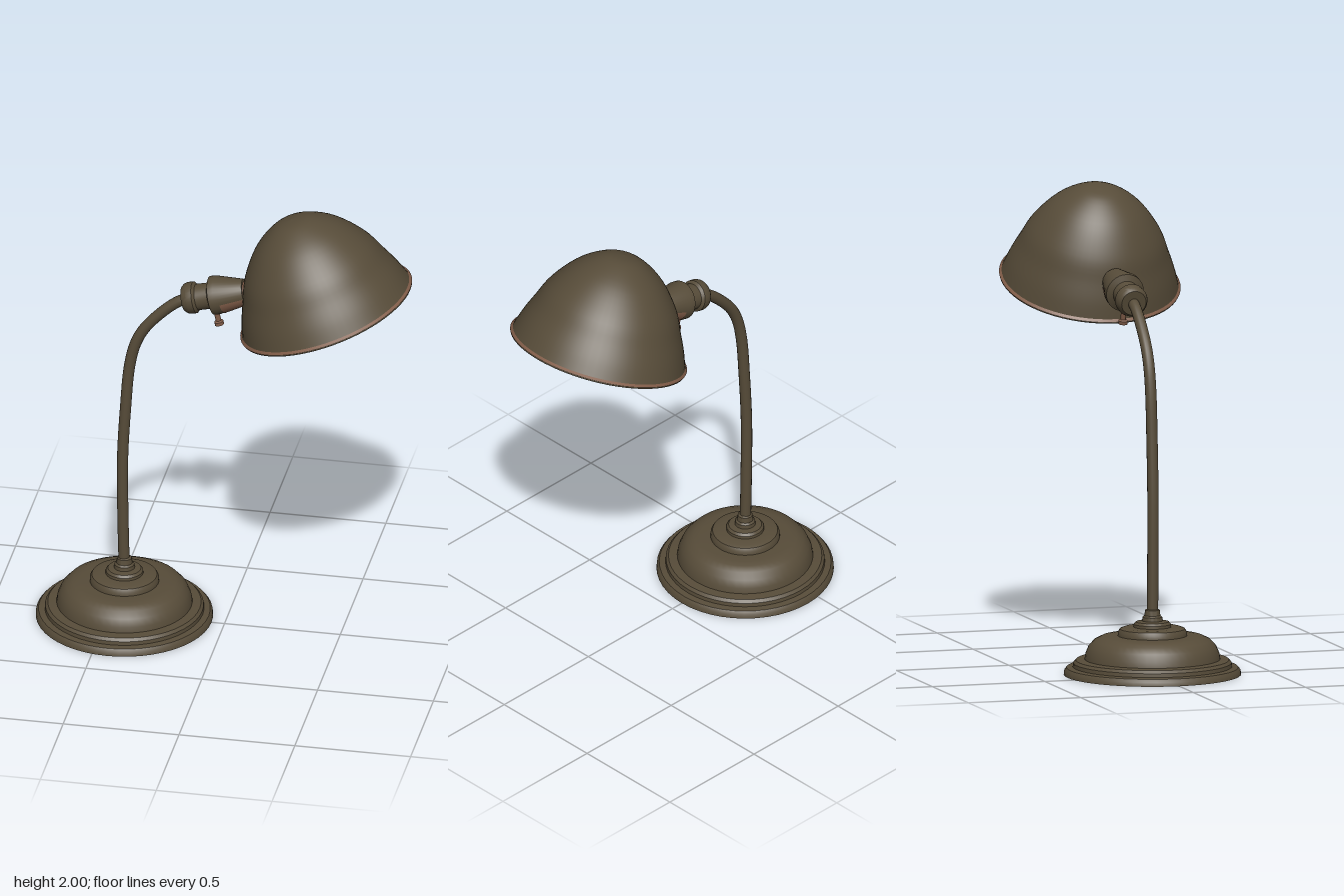
import * as THREE from 'three';
import { toCreasedNormals } from 'three/addons/utils/BufferGeometryUtils.js';

const bronze = new THREE.MeshStandardMaterial({ color: 0x574c39, side: THREE.DoubleSide });
bronze.name = 'aged bronze';
const copper = new THREE.MeshStandardMaterial({ color: 0x805c48, side: THREE.DoubleSide });
copper.name = 'worn copper';
const glass = new THREE.MeshStandardMaterial({ color: 0xd6cdb0 });
glass.name = 'frosted glass';

function mesh(name, geometry, material, x = 0, y = 0, z = 0) {
  const m = new THREE.Mesh(geometry, material);
  m.name = name;
  m.position.set(x, y, z);
  return m;
}

// Turned part from [radius, height] pairs listed bottom to top
function turned(points, segments = 48, crease = 0.6) {
  const profile = points.map(([r, y]) => new THREE.Vector2(r, y));
  return toCreasedNormals(new THREE.LatheGeometry(profile, segments), crease);
}

export function createModel() {
  const lamp = new THREE.Group();
  lamp.name = 'deskLamp';

  // Hollow stepped base
  lamp.add(mesh('base', turned([
    [0.376, 0], [0.374, 0.018], [0.364, 0.03], [0.338, 0.034],
    [0.336, 0.05], [0.325, 0.062], [0.288, 0.066],
    [0.284, 0.09], [0.270, 0.122], [0.247, 0.147], [0.218, 0.161], [0.19, 0.165], [0.147, 0.166],
    [0.146, 0.182], [0.138, 0.195], [0.122, 0.201], [0.08, 0.203],
    [0.079, 0.215], [0.07, 0.225], [0.044, 0.229],
    [0.042, 0.245], [0.034, 0.252], [0.031, 0.275], [0.022, 0.28],
  ]), bronze, -0.432));

  // Gooseneck arm
  const path = new THREE.CatmullRomCurve3([
    [-0.432, 0.2], [-0.438, 0.45], [-0.44, 0.75], [-0.427, 1.0], [-0.41, 1.2], [-0.385, 1.31],
    [-0.345, 1.39], [-0.255, 1.49], [-0.19, 1.54], [-0.13, 1.562],
  ].map(([x, y]) => new THREE.Vector3(x, y, 0)));
  lamp.add(mesh('arm', new THREE.TubeGeometry(path, 60, 0.024, 16), bronze));

  // Socket assembly, its local y running along the bulb axis
  const socket = new THREE.Group();
  socket.name = 'socketAssembly';
  socket.position.set(-0.155, 1.556, 0);
  socket.rotation.z = THREE.MathUtils.degToRad(-77);
  socket.add(mesh('socketHusk', turned([
    [0.02, -0.02], [0.054, -0.02], [0.064, -0.008], [0.068, 0.005], [0.068, 0.03], [0.056, 0.04],
    [0.056, 0.095], [0.083, 0.105], [0.083, 0.13], [0.055, 0.25], [0.04, 0.25],
  ], 32), bronze));
  socket.add(mesh('huskWornPatch',
    new THREE.CylinderGeometry(0.058, 0.081, 0.1, 24, 1, true, 0.15, Math.PI - 0.3), copper, 0, 0.2));
  socket.add(mesh('bulbHolder', turned([[0.043, 0.24], [0.043, 0.34], [0.055, 0.345], [0.055, 0.38], [0.04, 0.385]], 24), copper));
  const bulb = mesh('bulb', new THREE.SphereGeometry(1, 32, 24), glass, 0.028, 0.55);
  bulb.scale.set(0.14, 0.2, 0.14);
  socket.add(bulb);

  // Turn key under the socket
  socket.add(mesh('switchKey', turned([[0, 0], [0.012, 0], [0.012, 0.075], [0.02, 0.08], [0.02, 0.095], [0, 0.095]], 12), copper, 0.045, 0.105));
  socket.children.at(-1).rotation.z = -Math.PI / 2;
  lamp.add(socket);

  // Tilted dome shade with a rolled rim
  const shade = new THREE.Group();
  shade.name = 'shadeAssembly';
  shade.position.set(0.44, 1.567, 0);
  shade.rotation.z = THREE.MathUtils.degToRad(20.2);
  const dome = new THREE.SplineCurve([
    [0.38, 0], [0.355, 0.075], [0.323, 0.15], [0.278, 0.248], [0.19, 0.358], [0.085, 0.428], [0, 0.443],
  ].map(([r, y]) => new THREE.Vector2(r, y))).getPoints(28);
  dome[dome.length - 1].x = 0;
  shade.add(mesh('shade', new THREE.LatheGeometry(dome, 64), bronze));
  const rim = mesh('shadeRim', new THREE.TorusGeometry(0.379, 0.007, 8, 64), bronze);
  rim.rotation.x = Math.PI / 2;
  shade.add(rim);
  shade.add(mesh('rimWornEdge', new THREE.LatheGeometry(
    [new THREE.Vector2(0.387, 0.003), new THREE.Vector2(0.377, 0.012)], 64), copper));
  lamp.add(shade);

  return lamp;
}
